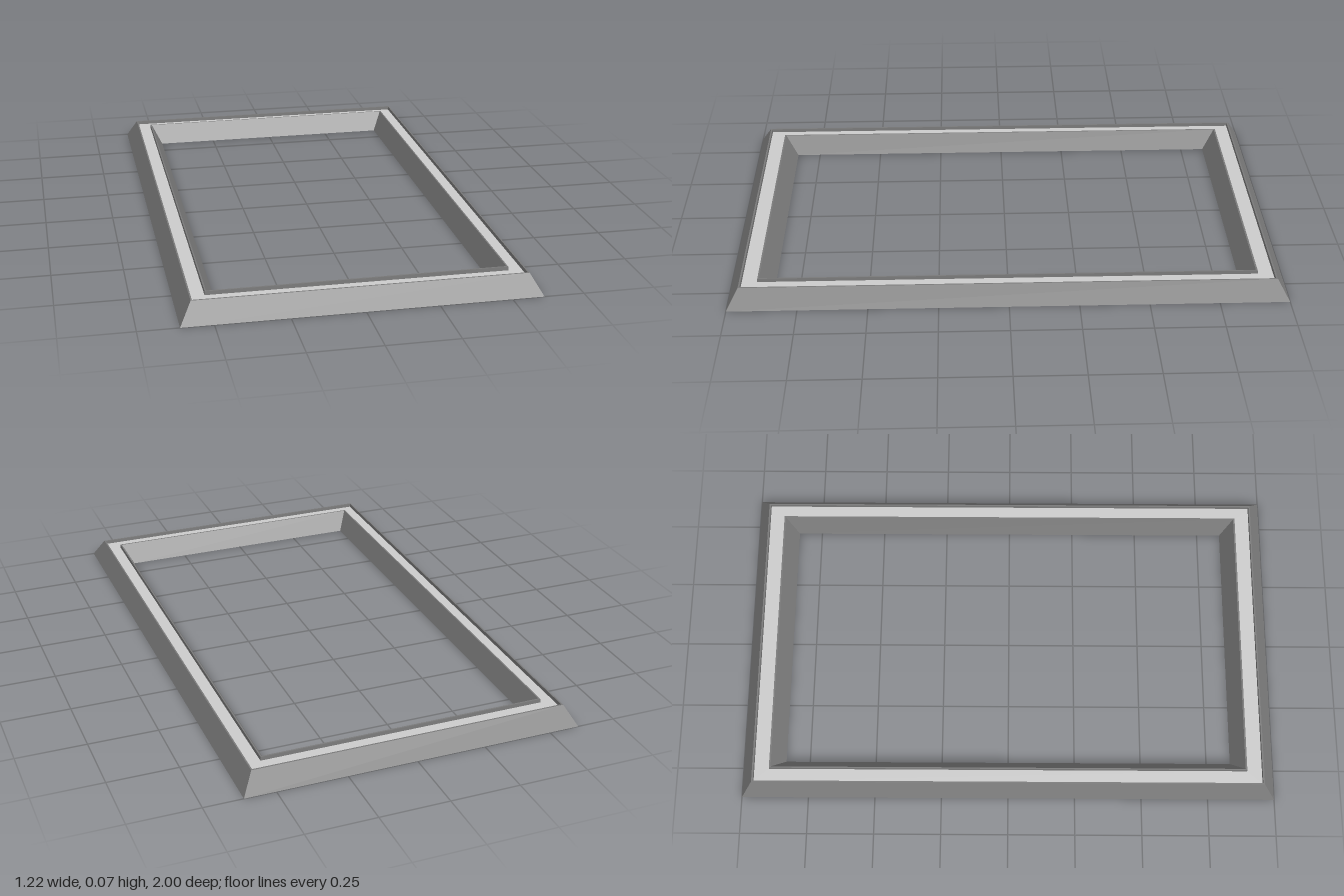
import * as THREE from 'three';

// Cross-section of the moulding, outside to inside: [half width x, height y, half length z]
const OUTER_RIM = [[0.611, 0, 1], [0.57, 0.072, 0.957], [0.565, 0.072, 0.951], [0.564, 0.059, 0.95]];
const INLAY = [[0.564, 0.059, 0.95], [0.517, 0.059, 0.895]];
const INNER_RIM = [[0.517, 0.059, 0.895], [0.516, 0.072, 0.894], [0.511, 0.072, 0.888], [0.473, 0, 0.84]];
const UNDERSIDE = [[0.473, 0, 0.84], [0.611, 0, 1]];

// Sweeps a run of the cross-section around the mitred rectangle
function mitredBand(profile) {
  const corners = [[1, 1], [1, -1], [-1, -1], [-1, 1]];
  const at = (p, c) => [p[0] * corners[c][0], p[1], p[2] * corners[c][1]];
  const positions = [];
  for (let i = 0; i < profile.length - 1; i++) {
    for (let c = 0; c < 4; c++) {
      const n = (c + 1) % 4;
      const a = at(profile[i], c), b = at(profile[i], n);
      const d = at(profile[i + 1], c), e = at(profile[i + 1], n);
      positions.push(...a, ...b, ...e, ...a, ...e, ...d);
    }
  }
  const geometry = new THREE.BufferGeometry();
  geometry.setAttribute('position', new THREE.Float32BufferAttribute(positions, 3));
  geometry.computeVertexNormals();
  return geometry;
}

export function createModel() {
  const group = new THREE.Group();
  group.name = 'rectangularFrame';
  const dark = new THREE.MeshStandardMaterial({ color: 0x797979, flatShading: true });
  const light = new THREE.MeshStandardMaterial({ color: 0xcccccc, flatShading: true });
  const parts = [
    ['outerRim', OUTER_RIM, dark],
    ['inlay', INLAY, light],
    ['innerRim', INNER_RIM, dark],
    ['underside', UNDERSIDE, dark],
  ];
  for (const [name, profile, material] of parts) {
    const mesh = new THREE.Mesh(mitredBand(profile), material);
    mesh.name = name;
    group.add(mesh);
  }
  return group;
}
